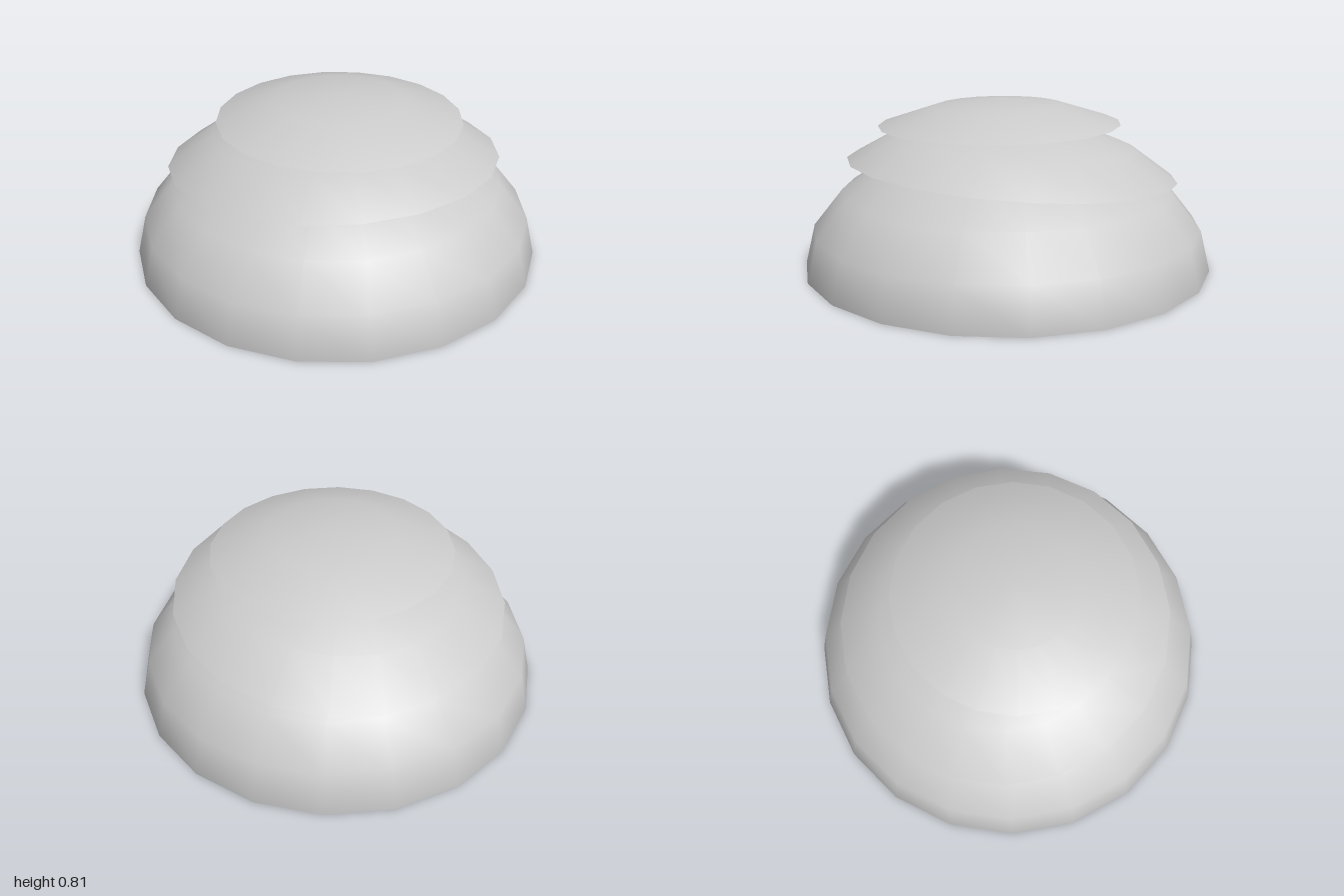
import * as THREE from 'three';

const STEP = Math.PI / 10; // one ring of the shared dome, 18 degrees
const FLATTEN = 0.63;

const material = new THREE.MeshStandardMaterial({ color: 0xcccccc, side: THREE.DoubleSide });

// Open band of one flattened dome, between two rings counted from its top
function domeBand(name, fromRing, toRing) {
  const rings = toRing - fromRing;
  const geometry = new THREE.SphereGeometry(1, 20, rings, 0, Math.PI * 2, fromRing * STEP, rings * STEP);
  geometry.scale(1, FLATTEN, 1);
  const mesh = new THREE.Mesh(geometry, material);
  mesh.name = name;
  return mesh;
}

export function createModel() {
  const model = new THREE.Group();
  model.name = 'tieredDome';

  // Wide lower shell, open at the top and bottom
  const lowerShell = domeBand('lowerShell', 2, 5);

  // Middle shell, lifted and tipped up at the front
  const middleShell = domeBand('middleShell', 1, 3);
  middleShell.position.y = 0.1;
  middleShell.rotation.x = -0.077;

  // Closed cap, lifted higher and tipped slightly the other way
  const topCap = domeBand('topCap', 0, 2);
  topCap.position.set(0, 0.18, 0.033);
  topCap.rotation.x = 0.012;

  model.add(lowerShell, middleShell, topCap);
  return model;
}
